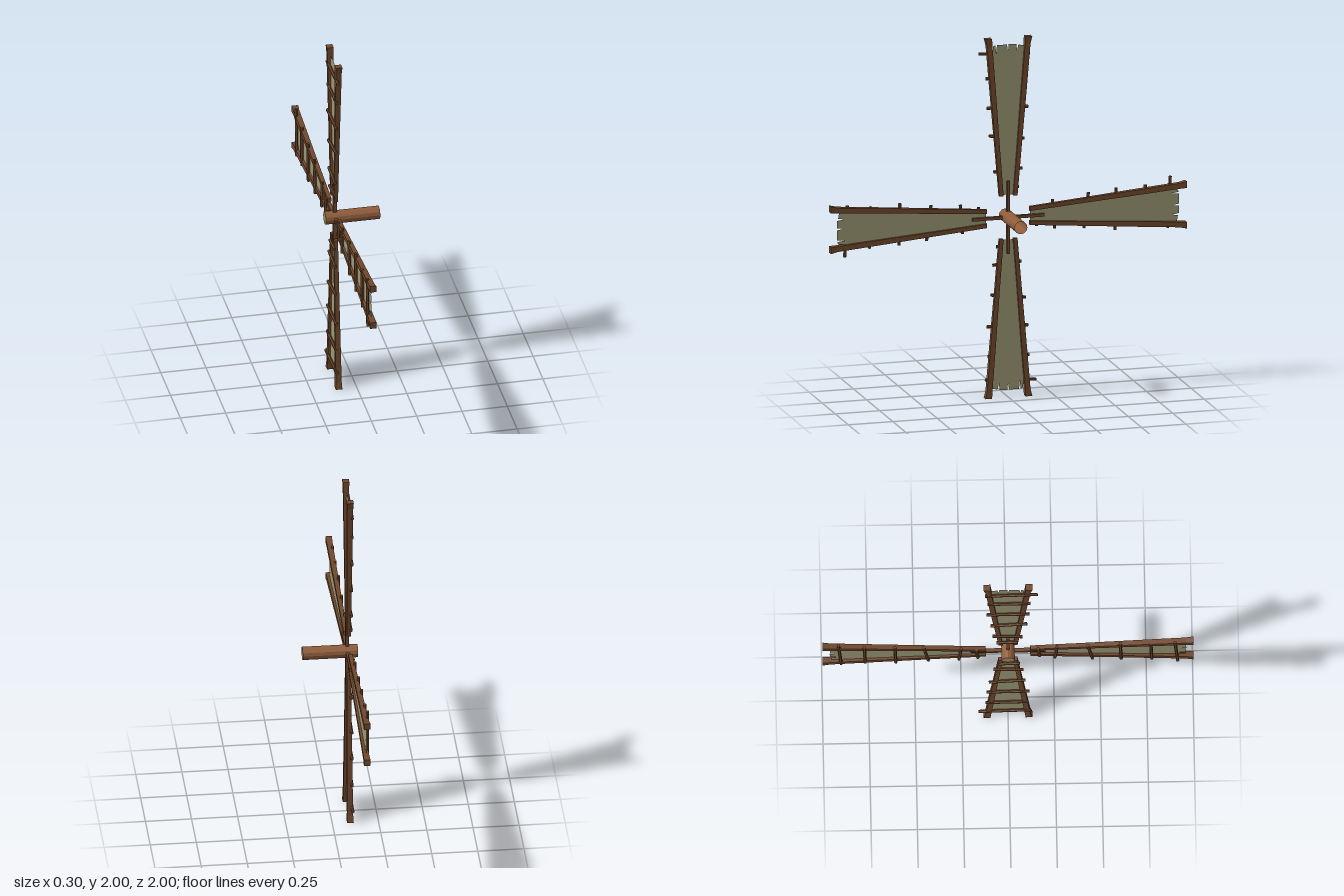
import * as THREE from 'three';

const wood = new THREE.MeshStandardMaterial({ color: 0x70482d, flatShading: true });
const axleWood = new THREE.MeshStandardMaterial({ color: 0x8f5c3a, flatShading: true, side: THREE.DoubleSide });
const endGrain = new THREE.MeshStandardMaterial({ color: 0x9a8c68, side: THREE.DoubleSide });
const cloth = new THREE.MeshStandardMaterial({ color: 0x9c9874, side: THREE.DoubleSide });

const PLANE_X = -0.098; // plane of the sails along the axle

function add(parent, name, geometry, material) {
  const mesh = new THREE.Mesh(geometry, material);
  mesh.name = name;
  parent.add(mesh);
  return mesh;
}

// Hewn beam that leans outwards, thickens with radius and flares at the tip
function railGeometry(side) {
  // radius, lateral centre, width, depth
  const stations = [
    [0.12, 0.039, 0.023, 0.022],
    [0.4, 0.062, 0.025, 0.024],
    [0.7, 0.086, 0.029, 0.028],
    [0.96, 0.107, 0.03, 0.032],
    [1.0, 0.113, 0.037, 0.036],
  ];
  const geo = new THREE.BoxGeometry(1, 1, 1, 1, stations.length - 1, 1);
  const p = geo.attributes.position;
  for (let i = 0; i < p.count; i++) {
    const k = Math.round((p.getY(i) + 0.5) * (stations.length - 1));
    const [r, z, w, d] = stations[k];
    p.setXYZ(i, p.getX(i) * d, r, side * z + p.getZ(i) * w);
  }
  geo.computeVertexNormals();
  return geo;
}

// Tapered cloth with a torn outer edge; shape x is the lateral direction
function sailGeometry() {
  const shape = new THREE.Shape([
    [-0.036, 0.125], [0.036, 0.125], [0.1, 0.9], [0.088, 0.9], [0.084, 0.955],
    [0.072, 0.96], [0.066, 0.915], [0.062, 0.96], [0.006, 0.96], [0, 0.92],
    [-0.004, 0.962], [-0.046, 0.96], [-0.052, 0.922], [-0.058, 0.955],
    [-0.088, 0.95], [-0.1, 0.9],
  ].map(([x, y]) => new THREE.Vector2(x, y)));
  return new THREE.ShapeGeometry(shape).rotateY(-Math.PI / 2);
}

// Uneven rungs: radius and lateral position of both ends
const rungs = [
  [0.915, 0.16, 0.9, -0.125],
  [0.775, 0.122, 0.77, -0.11],
  [0.61, 0.116, 0.605, -0.116],
  [0.455, 0.103, 0.43, -0.094],
  [0.253, 0.078, 0.265, -0.083],
  [0.17, 0.052, 0.163, -0.063],
];

function createBlade() {
  const blade = new THREE.Group();
  blade.name = 'blade';
  for (const side of [-1, 1]) add(blade, 'sailRail', railGeometry(side), wood);
  add(blade, 'sailCloth', sailGeometry(), cloth);
  for (const [r0, z0, r1, z1] of rungs) {
    const a = new THREE.Vector3(0, r0, z0);
    const b = new THREE.Vector3(0, r1, z1);
    const rung = add(blade, 'rung', new THREE.CylinderGeometry(0.009, 0.009, a.distanceTo(b), 6), wood);
    rung.position.addVectors(a, b).multiplyScalar(0.5).setX(-0.011);
    rung.quaternion.setFromUnitVectors(new THREE.Vector3(0, 1, 0), b.sub(a).normalize());
  }
  // Spoke joining the blade to the axle
  const spoke = add(blade, 'spoke', new THREE.BoxGeometry(0.02, 0.17, 0.017), wood);
  spoke.position.set(0.004, 0.117, 0);
  return blade;
}

export function createModel() {
  const model = new THREE.Group();
  model.name = 'windmillSails';

  // Hollow axle, closed at the sail end
  const axle = add(model, 'axle', new THREE.CylinderGeometry(0.036, 0.036, 0.3, 12, 1, true), axleWood);
  axle.rotation.z = Math.PI / 2;
  axle.position.y = 1;
  const cap = add(model, 'axleCap', new THREE.CircleGeometry(0.036, 12), endGrain);
  cap.rotation.y = -Math.PI / 2;
  cap.position.set(-0.15, 1, 0);

  // Four identical blades around the axle
  for (let i = 0; i < 4; i++) {
    const blade = createBlade();
    blade.position.set(PLANE_X, 1, 0);
    blade.rotation.x = (i * Math.PI) / 2;
    model.add(blade);
  }
  return model;
}
